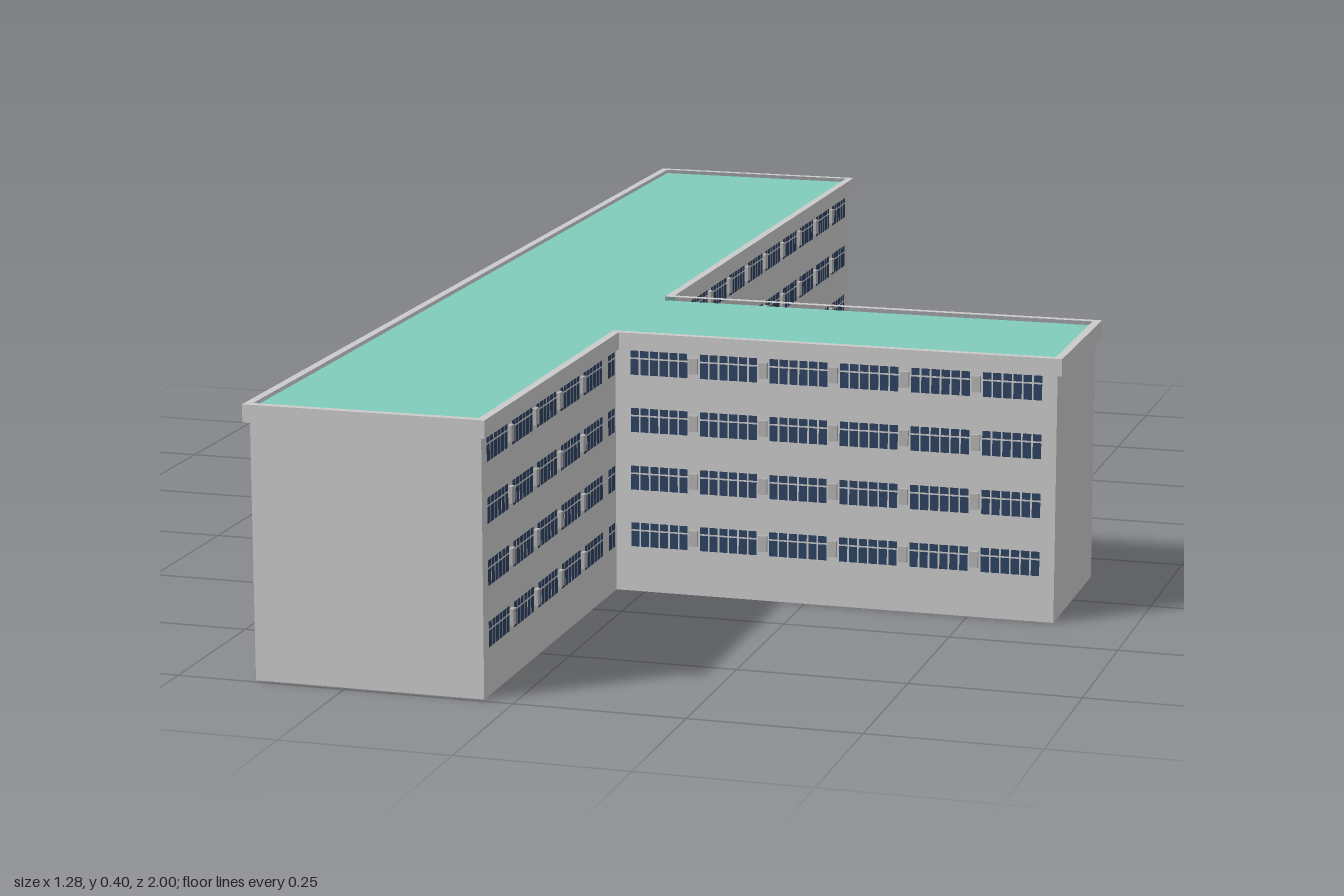
import * as THREE from 'three';
import { mergeGeometries } from 'three/addons/utils/BufferGeometryUtils.js';

const mat = (color, side = THREE.FrontSide) => new THREE.MeshStandardMaterial({ color, side });
const GREY = mat(0xcccccc), ROOF = mat(0x80ccbb), GLASS = mat(0x2c4262), UNIT = mat(0xb4b4b4), PAVING = mat(0x967a82);

const X0 = -0.385, X1 = -0.045, X2 = 0.63;      // main block and wing in x
const Z0 = -0.992, Z1 = 0.11, Z2 = 0.383, Z3 = 0.992; // main block and wing in z
const WALL = 0.374, TOP = 0.4, ENTRY = 0.115;
const FLOORS = [0.07, 0.158, 0.247, 0.335];     // window sill heights

// T-shaped outline grown by o, optionally notched for the entrance
function tee(o, notch) {
  const p = [
    [X0 - o, Z0 - o], [X1 + o, Z0 - o], [X1 + o, Z1 - o], [X2 + o, Z1 - o],
    [X2 + o, Z2 + o], [X1 + o, Z2 + o], [X1 + o, Z3 + o], [X0 - o, Z3 + o],
  ];
  if (notch) p.push([X0, 0.3], [X0 + 0.035, 0.3], [X0 + 0.035, 0.12], [X0, 0.12]);
  return p.map(([x, z]) => new THREE.Vector2(x, -z));
}

function slab(shape, y0, y1) {
  const g = new THREE.ExtrudeGeometry(shape, { depth: y1 - y0, bevelEnabled: false });
  return g.rotateX(-Math.PI / 2).translate(0, y0, 0);
}

function box(x0, x1, y0, y1, z0, z1) {
  return new THREE.BoxGeometry(x1 - x0, y1 - y0, z1 - z0)
    .translate((x0 + x1) / 2, (y0 + y1) / 2, (z0 + z1) / 2);
}

function add(parent, name, geometry, material) {
  const m = new THREE.Mesh(geometry, material);
  m.name = name;
  parent.add(m);
  return m;
}

// Panes of one window, cols wide, with a small row of top lights
function windowPanes(out, u, y, width, cols) {
  const w = width / cols, gap = 0.0025;
  for (let i = 0; i < cols; i++) {
    for (const [a, b] of [[0, 0.024], [0.0265, 0.037]]) {
      out.push(new THREE.PlaneGeometry(w - gap, b - a)
        .translate(u + (i + 0.5) * w, y + (a + b) / 2, 0.0015));
    }
  }
}

// Rows of windows along a wall, u running to the right as seen from outside
function facade(parent, name, x, z, yaw, runs) {
  const glass = [], units = [];
  for (const { from, count, pitch = 0.108, width = 0.091, cols = 6, ac = true, skip } of runs) {
    FLOORS.forEach((y, f) => {
      for (let i = 0; i < count; i++) {
        if (skip && skip(f, i)) continue;
        const u = from + i * pitch;
        windowPanes(glass, u, y, width, cols);
        // wall unit between neighbouring windows
        if (ac && i < count - 1) {
          units.push(box(u + width + 0.002, u + pitch - 0.002, y + 0.007, y + 0.031, 0, 0.006));
        }
      }
    });
  }
  const g = new THREE.Group();
  g.name = name;
  g.position.set(x, 0, z);
  g.rotation.y = yaw;
  add(g, 'windows', mergeGeometries(glass), GLASS);
  if (units.length) add(g, 'wallUnits', mergeGeometries(units), UNIT);
  parent.add(g);
}

export function createModel() {
  const model = new THREE.Group();
  model.name = 'building';

  // Walls, with a recessed entrance on the ground floor
  add(model, 'groundFloorWalls', slab(new THREE.Shape(tee(0, true)), 0, ENTRY), GREY);
  add(model, 'upperWalls', slab(new THREE.Shape(tee(0)), ENTRY, WALL), GREY);

  // Parapet ring and roof surface inside it
  const ring = new THREE.Shape(tee(0.008));
  ring.holes.push(new THREE.Path(tee(-0.004)));
  add(model, 'parapet', slab(ring, WALL, TOP), GREY);
  add(model, 'roof', slab(new THREE.Shape(tee(-0.004)), WALL, TOP - 0.006), ROOF);

  // Wing front and back
  facade(model, 'wingFront', 0, Z2, 0, [{ from: -0.022, count: 6 }]);
  facade(model, 'wingBack', 0, Z1, Math.PI, [{ from: -0.615, count: 6 }]);

  // Main block, side facing the wing (u = -z)
  facade(model, 'mainWingSide', X1, 0, Math.PI / 2, [
    { from: -0.975, count: 5 },
    { from: -0.426, count: 1, width: 0.034, cols: 2 },
    { from: -0.098, count: 10 },
  ]);

  // Main block, entrance side (u = z), with narrow stair windows
  facade(model, 'mainEntranceSide', X0, 0, -Math.PI / 2, [
    { from: -0.975, count: 8 },
    { from: -0.065, count: 2, pitch: 0.1, width: 0.034, cols: 2, ac: false },
    { from: 0.128, count: 8, skip: (f, i) => f === 0 && i < 2 },
  ]);

  // Entrance: glazed doors, platform, cheek walls
  const entrance = new THREE.Group();
  entrance.name = 'entrance';
  model.add(entrance);
  const doors = [];
  for (let i = 0; i < 5; i++) {
    const z = 0.125 + i * 0.035;
    doors.push(box(X0 + 0.03, X0 + 0.036, 0.027, 0.085, z, z + 0.031));
    doors.push(box(X0 + 0.03, X0 + 0.036, 0.089, 0.108, z, z + 0.031));
  }
  add(entrance, 'doors', mergeGeometries(doors), GLASS);
  add(entrance, 'platform', mergeGeometries([
    box(-0.49, X0, 0, 0.026, 0.108, 0.317),
    box(X0, X0 + 0.036, 0, 0.026, 0.12, 0.3),
  ]), PAVING);
  const steps = [];
  for (let i = 0; i < 3; i++) {
    steps.push(box(-0.507 - i * 0.017, -0.49 - i * 0.017, 0, 0.02 - i * 0.0065, 0.172, 0.317));
  }
  add(entrance, 'steps', mergeGeometries(steps), PAVING);
  add(entrance, 'cheekWalls', mergeGeometries([
    box(-0.558, X0, 0, 0.035, 0.1, 0.109),
    box(-0.558, X0, 0, 0.035, 0.316, 0.325),
  ]), GREY);

  // Sloping ramp between two curbs
  const slope = new THREE.Shape([[-0.64, 0], [-0.49, 0], [-0.49, 0.026], [-0.64, 0.003]]
    .map(([x, y]) => new THREE.Vector2(x, y)));
  add(entrance, 'ramp', new THREE.ExtrudeGeometry(slope, { depth: 0.05, bevelEnabled: false })
    .translate(0, 0, 0.117), UNIT);
  add(entrance, 'rampCurbs', mergeGeometries([
    box(-0.64, -0.5, 0, 0.021, 0.11, 0.117),
    box(-0.64, -0.5, 0, 0.021, 0.167, 0.174),
  ]), GREY);

  return model;
}
